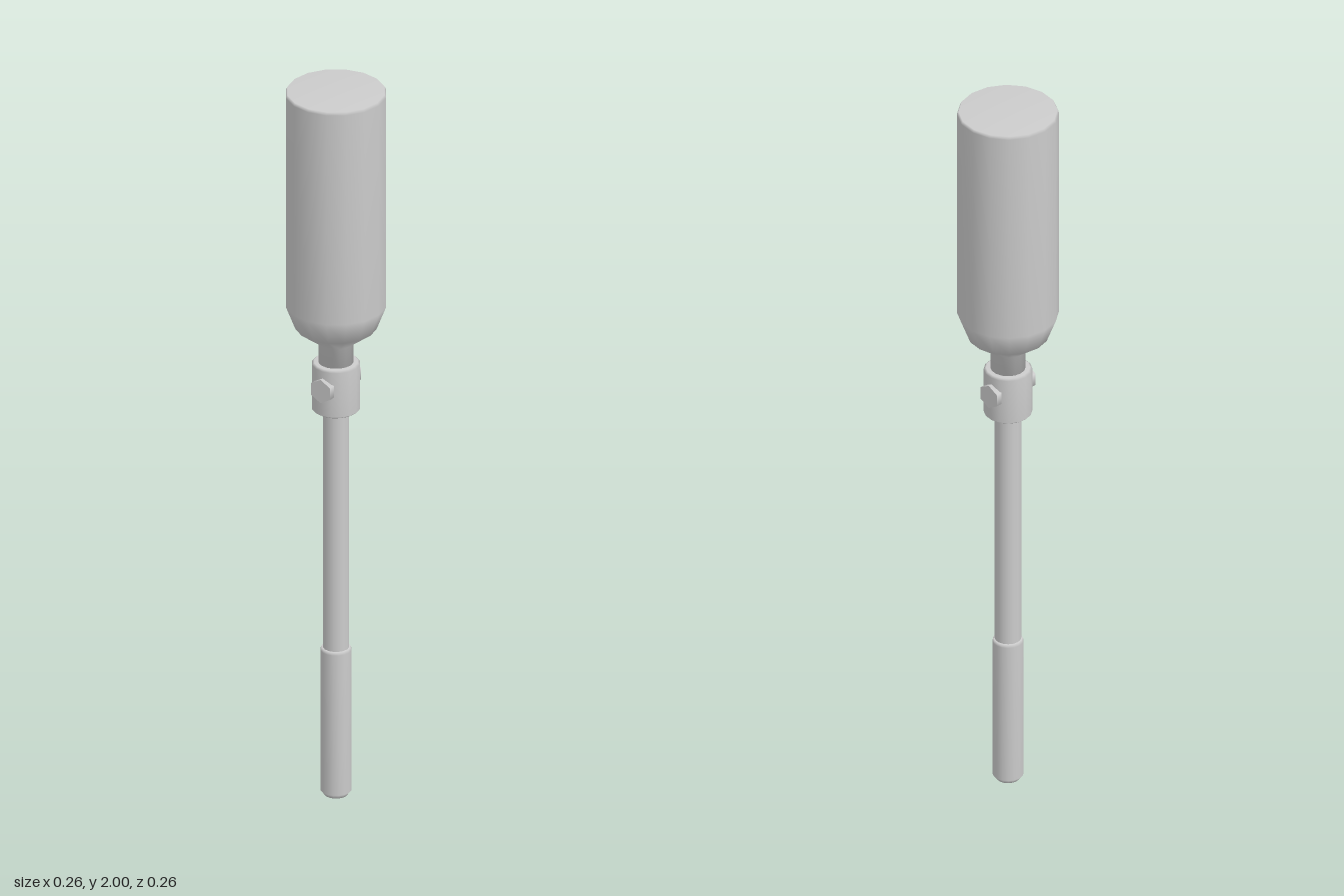
import * as THREE from 'three';

const material = new THREE.MeshStandardMaterial({ color: 0xcccccc });

// Sixteen-sided turned part from [radius, height] pairs, listed from bottom to top
function turned(name, profile) {
  const points = profile.map(([r, y]) => new THREE.Vector2(r, y));
  const mesh = new THREE.Mesh(new THREE.LatheGeometry(points, 16), material);
  mesh.name = name;
  return mesh;
}

export function createModel() {
  const model = new THREE.Group();
  model.name = 'handTool';

  // Grip with a tapered shoulder and narrow neck
  model.add(turned('handle', [
    [0, 1.22], [0.045, 1.22], [0.045, 1.29], [0.105, 1.335], [0.13, 1.4], [0.13, 1.992], [0.126, 2], [0, 2],
  ]));

  // Clamping collar with small chamfers
  model.add(turned('collar', [
    [0, 1.1], [0.056, 1.1], [0.062, 1.105], [0.062, 1.23], [0.056, 1.235], [0, 1.235],
  ]));

  // Shaft
  model.add(turned('shaft', [[0.034, 0.41], [0.034, 1.11]]));

  // Sleeve with a shallow pointed end
  model.add(turned('tipSleeve', [
    [0, 0], [0.03, 0.011], [0.04, 0.024], [0.04, 0.42], [0.037, 0.428], [0, 0.428],
  ]));

  // Hexagonal set screws on the front and back of the collar
  for (const side of [1, -1]) {
    const geometry = new THREE.CylinderGeometry(0.033, 0.033, 0.03, 6);
    geometry.rotateX(side * Math.PI / 2);
    const screw = new THREE.Mesh(geometry, material);
    screw.name = side > 0 ? 'frontScrew' : 'backScrew';
    screw.position.set(0, 1.178, side * 0.057);
    model.add(screw);
  }

  return model;
}
